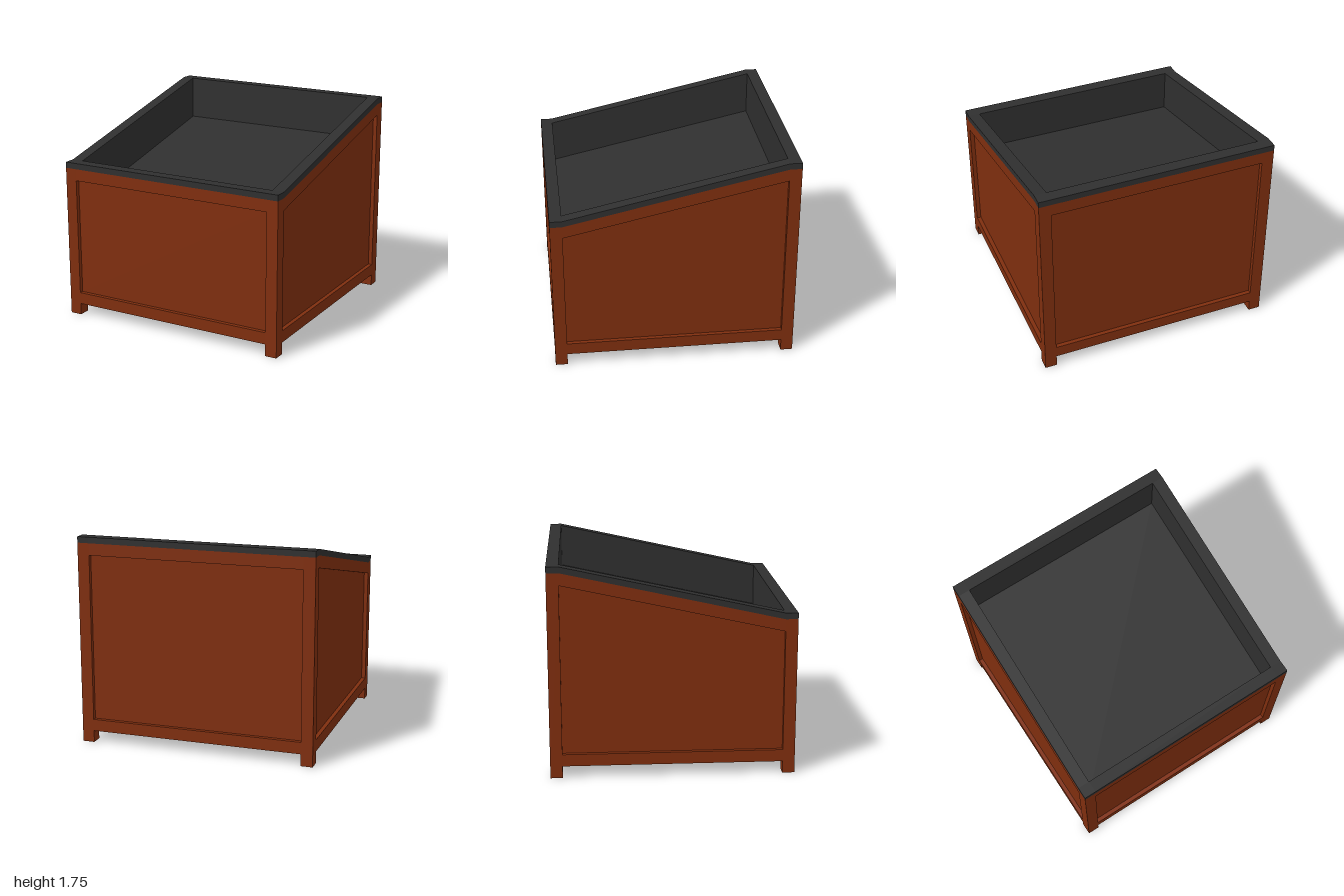
import * as THREE from 'three';

export function createModel() {
  const group = new THREE.Group();
  const wood = new THREE.MeshStandardMaterial({ color: 0x7f2e0e });
  wood.name = 'rust wood';
  const dark = new THREE.MeshStandardMaterial({ color: 0x2f2f2f });
  dark.name = 'charcoal';

  function add(name, geometry, material) {
    const mesh = new THREE.Mesh(geometry, material);
    mesh.name = name;
    group.add(mesh);
  }
  // Box given by its extents on each axis
  function box(name, material, [x0, x1], [y0, y1], [z0, z1]) {
    const g = new THREE.BoxGeometry(x1 - x0, y1 - y0, z1 - z0);
    g.translate((x0 + x1) / 2, (y0 + y1) / 2, (z0 + z1) / 2);
    add(name, g, material);
  }
  // Side profile in (z, y), extruded from x0 to x1
  function slab(name, material, points, x0, x1) {
    const shape = new THREE.Shape(points.map(([z, y]) => new THREE.Vector2(z, y)));
    const g = new THREE.ExtrudeGeometry(shape, { depth: x1 - x0, bevelEnabled: false });
    g.rotateY(-Math.PI / 2);
    g.translate(x1, 0, 0);
    add(name, g, material);
  }
  const span = (s, a, b) => (s > 0 ? [a, b] : [-b, -a]);
  // Band between two heights at the front, climbing 0.4 to the back
  const band = (low, high) => [[0.9, low], [0.9, high], [-0.9, high + 0.4], [-0.9, low + 0.4]];

  const recess = 0.965; // outer face of the inset panels
  const floorY = 0.98; // tray floor height at the front

  // Front and back walls
  for (const s of [1, -1]) {
    const name = s > 0 ? 'front' : 'back';
    const rise = s > 0 ? 0 : 0.4;
    const inner = [-0.9, 0.9];
    box(name + 'BottomRail', wood, inner, [0.1, 0.2], span(s, 0.91, 1));
    box(name + 'TopRail', wood, inner, [1.2 + rise, 1.3 + rise], span(s, 0.91, 1));
    box(name + 'Panel', wood, inner, [0.2, 1.2 + rise], span(s, 0.91, recess));
    box(name + 'Lining', dark, inner, [floorY + rise, 1.3 + rise], span(s, 0.9, 0.91));
    box(name + 'Rim', dark, inner, [1.3 + rise, 1.35 + rise], span(s, 0.9, 1));
    // Corner posts, which also form the feet
    for (const t of [1, -1]) {
      box(name + (t > 0 ? 'Left' : 'Right') + 'Post', wood,
        span(t, 0.9, 1), [0, 1.3 + rise], span(s, 0.9, 1));
    }
  }

  // Sloping side walls
  for (const s of [1, -1]) {
    const name = s > 0 ? 'left' : 'right';
    box(name + 'BottomRail', wood, span(s, 0.91, 1), [0.1, 0.2], [-0.9, 0.9]);
    slab(name + 'TopRail', wood, band(1.2, 1.3), ...span(s, 0.91, 1));
    slab(name + 'Panel', wood, [[0.9, 0.2], [0.9, 1.2], [-0.9, 1.6], [-0.9, 0.2]],
      ...span(s, 0.91, recess));
    slab(name + 'Lining', dark, band(floorY, 1.3), ...span(s, 0.9, 0.91));
    slab(name + 'Rim', dark, [
      [1, 1.3], [1, 1.35], [0.9, 1.35], [-0.9, 1.75],
      [-1, 1.75], [-1, 1.7], [-0.9, 1.7], [0.9, 1.3],
    ], ...span(s, 0.9, 1));
  }

  // Sloping tray floor and flat underside
  slab('trayFloor', dark, band(floorY - 0.02, floorY), -0.9, 0.9);
  box('base', wood, [-0.91, 0.91], [0.1, 0.14], [-0.91, 0.91]);

  return group;
}
